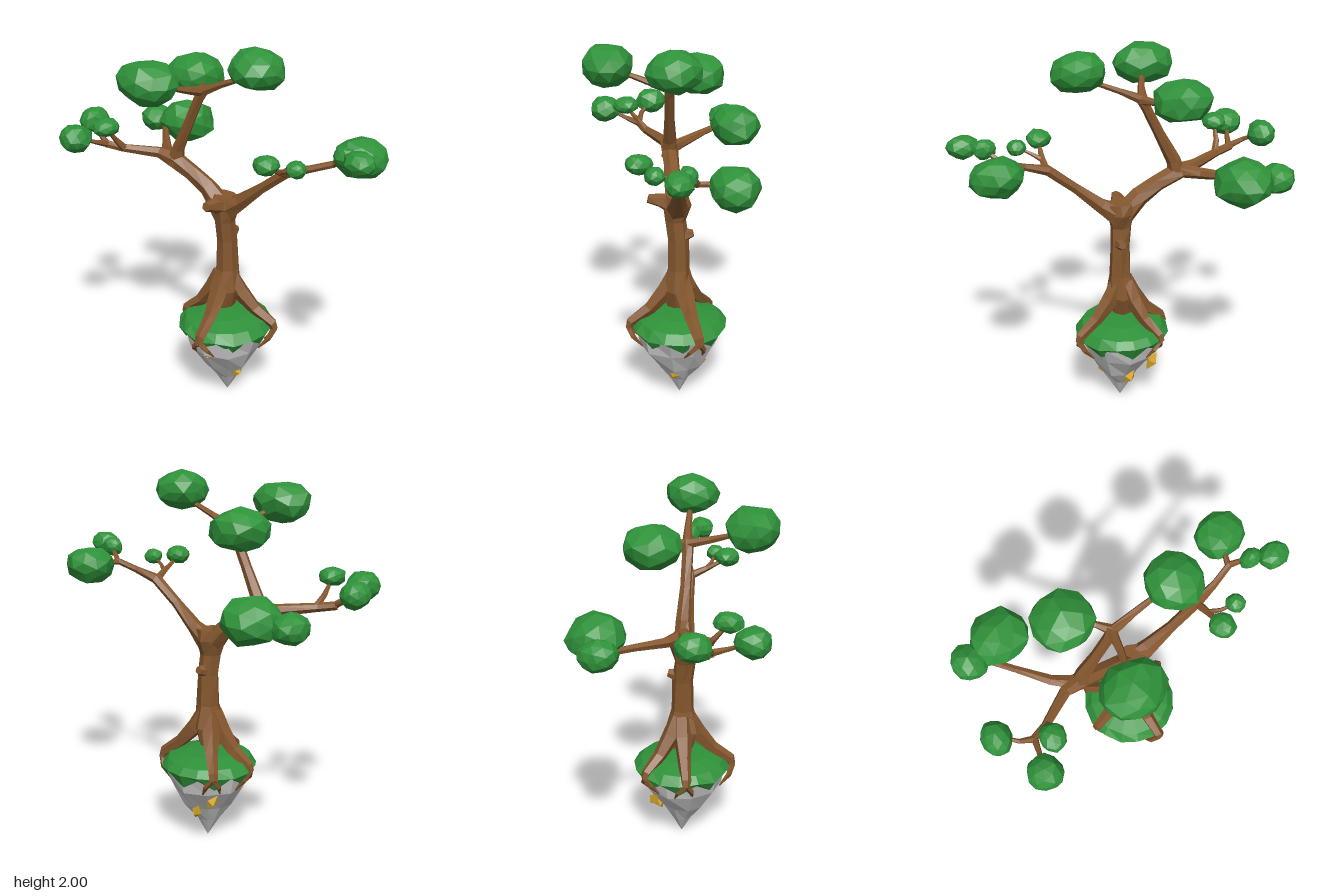
import * as THREE from 'three';

const material = (color) => new THREE.MeshStandardMaterial({ color, flatShading: true, roughness: 0.9 });
const bark = material(0x85572e);
const leaf = material(0x2f923a);
const stone = material(0xcccccc);
const gold = material(0xd9a92c);

// Repeatable jitter in -1..1 from a position
function noise(x, y, z, seed) {
  const s = Math.sin(Math.round(x * 100) * 12.99 + Math.round(y * 100) * 78.23 + Math.round(z * 100) * 37.72 + seed * 4.1) * 43758.55;
  return (s - Math.floor(s)) * 2 - 1;
}

function add(group, name, geometry, mat) {
  const mesh = new THREE.Mesh(geometry, mat);
  mesh.name = name;
  group.add(mesh);
  return mesh;
}

// Faceted tapering limb through points [x, y, z, radius]
function limbGeometry(points, sides = 6) {
  const rows = points.map(([x, y, z, r]) => ({ p: new THREE.Vector3(x, y, z), r }));
  const last = rows[rows.length - 1];
  rows.unshift({ p: rows[0].p, r: 0.001 });
  rows.push({ p: last.p, r: 0.001 });
  const verts = [], index = [];
  let n = new THREE.Vector3(0.31, 0.12, 0.94);
  rows.forEach(({ p, r }, i) => {
    const before = rows[Math.max(i - 2, 0)].p, after = rows[Math.min(i + 2, rows.length - 1)].p;
    const t = after.clone().sub(before).normalize();
    n = n.clone().addScaledVector(t, -n.dot(t)).normalize();
    const b = t.clone().cross(n);
    for (let j = 0; j < sides; j++) {
      const a = (j / sides) * Math.PI * 2;
      const k = r * (1 + 0.12 * noise(i, j, 1, sides));
      const v = p.clone().addScaledVector(n, Math.cos(a) * k).addScaledVector(b, Math.sin(a) * k);
      verts.push(v.x, v.y, v.z);
      if (i < rows.length - 1) {
        const j2 = (j + 1) % sides, c = i * sides, d = c + sides;
        index.push(c + j, c + j2, d + j2, c + j, d + j2, d + j);
      }
    }
  });
  const g = new THREE.BufferGeometry();
  g.setAttribute('position', new THREE.Float32BufferAttribute(verts, 3));
  g.setIndex(index);
  g.computeVertexNormals();
  return g;
}

// Lumpy faceted leaf ball
function leafGeometry(rx, ry, rz, seed) {
  const g = new THREE.IcosahedronGeometry(1, 1);
  g.rotateY(seed * 1.3);
  const pos = g.attributes.position;
  for (let i = 0; i < pos.count; i++) {
    const x = pos.getX(i), y = pos.getY(i), z = pos.getZ(i);
    const k = 1 + 0.08 * noise(x, y, z, seed);
    pos.setXYZ(i, x * k * rx, y * k * ry, z * k * rz);
  }
  g.computeVertexNormals();
  return g;
}

// Revolved profile with every vertex moved by a rule(vertex, segment, row)
function ruggedLathe(profile, segments, rule) {
  const g = new THREE.LatheGeometry(profile.map(([r, y]) => new THREE.Vector2(r, y)), segments);
  const pos = g.attributes.position, v = new THREE.Vector3();
  for (let i = 0; i < pos.count; i++) {
    v.fromBufferAttribute(pos, i);
    rule(v, Math.floor(i / profile.length) % segments, i % profile.length);
    pos.setXYZ(i, v.x, v.y, v.z);
  }
  g.computeVertexNormals();
  return g;
}

export function createModel() {
  const model = new THREE.Group();
  model.name = 'floatingTree';

  // Pointed rock
  add(model, 'rock', ruggedLathe([[0.001, 0.01], [0.062, 0.12], [0.125, 0.21], [0.2, 0.335], [0.24, 0.44], [0.001, 0.46]], 10,
    (v, s, row) => {
      const k = row > 0 && row < 4 ? 1 + 0.1 * noise(s, row, 0, 3) : 1;
      v.set(v.x * k + 0.01, v.y, v.z * k + 0.015);
    }), stone);

  // Grass cap with a zigzag skirt
  add(model, 'grass', ruggedLathe([[0.232, 0.41], [0.262, 0.445], [0.225, 0.49], [0.13, 0.515], [0.001, 0.52]], 16,
    (v, s, row) => {
      if (row === 0) {
        v.y += s % 2 ? 0.02 : -0.035;
        if (s % 2 === 0) v.multiply(new THREE.Vector3(0.97, 1, 0.97));
      }
      if (row === 1) v.y += 0.012 * noise(s, 1, 2, 5);
      v.x *= 0.98;
      v.z += 0.015;
    }), leaf).material.side = THREE.DoubleSide;

  // Gold crystals set in the rock
  const crystals = [[0.02, 0.33, 0.2, 1.1], [-0.13, 0.295, -0.13, 0.5], [0.1, 0.18, 0.05, 0.35], [-0.01, 0.2, -0.11, 0.4]];
  crystals.forEach(([x, y, z, tilt]) => {
    const c = add(model, 'crystal', new THREE.OctahedronGeometry(1, 0), gold);
    c.scale.set(0.03, 0.055, 0.03);
    c.position.set(x, y, z);
    c.rotation.set(0.35, Math.atan2(x, z), -tilt, 'YXZ');
  });

  // Trunk and knots
  const wood = new THREE.Group();
  wood.name = 'wood';
  model.add(wood);
  add(wood, 'trunk', limbGeometry([[0, 0.56, 0.02, 0.06], [0, 0.66, 0.02, 0.085], [0.005, 0.78, 0.02, 0.062],
    [0.005, 0.95, 0.02, 0.056], [0, 1.06, 0.03, 0.058], [0, 1.14, 0.03, 0.078], [0.01, 1.2, 0.025, 0.065]], 7), bark);
  add(wood, 'knot', limbGeometry([[0, 1.14, 0.03, 0.055], [-0.01, 1.17, 0.11, 0.04], [-0.01, 1.18, 0.175, 0.026]]), bark);
  add(wood, 'knot', limbGeometry([[0.01, 0.97, 0.01, 0.045], [0.015, 0.985, -0.06, 0.02]]), bark);

  // Roots over the rim, each ending in two tips on the rock
  for (const [x, z] of [[0.02, 0.295], [0.265, -0.07], [-0.25, 0.05], [-0.17, -0.175]]) {
    const at = (k, y, r, turn = 0) => {
      const c = Math.cos(turn), s = Math.sin(turn);
      return [k * (x * c + z * s), y, k * (z * c - x * s) + 0.015 * (1 - k), r];
    };
    add(wood, 'root', limbGeometry([at(0.1, 0.74, 0.045), at(0.3, 0.64, 0.046), at(0.58, 0.55, 0.036),
      at(0.95, 0.475, 0.027), at(1, 0.435, 0.022)], 5), bark);
    for (const turn of [-0.28, 0.22]) {
      add(wood, 'rootTip', limbGeometry([at(0.99, 0.45, 0.018), at(0.93, 0.4, 0.014, turn * 0.6),
        at(0.76, 0.34, 0.004, turn)], 4), bark);
    }
  }

  // Branches
  const branches = {
    rightBough: [[-0.02, 1.13, 0.025, 0.06], [-0.1, 1.22, 0.03, 0.05], [-0.2, 1.28, 0.035, 0.046], [-0.31, 1.335, 0.035, 0.047],
      [-0.4, 1.355, 0.05, 0.03], [-0.57, 1.375, 0.15, 0.022], [-0.66, 1.39, 0.18, 0.02]],
    rightTwigA: [[-0.65, 1.39, 0.18, 0.018], [-0.72, 1.43, 0.16, 0.012], [-0.78, 1.47, 0.11, 0.008]],
    rightTwigB: [[-0.65, 1.39, 0.18, 0.018], [-0.67, 1.42, 0.26, 0.012], [-0.7, 1.46, 0.34, 0.008]],
    rightTwigC: [[-0.56, 1.375, 0.15, 0.02], [-0.58, 1.43, 0.19, 0.015], [-0.585, 1.5, 0.25, 0.008]],
    backBranch: [[-0.32, 1.335, 0.035, 0.036], [-0.42, 1.34, -0.04, 0.028], [-0.54, 1.36, -0.18, 0.02], [-0.61, 1.37, -0.265, 0.017],
      [-0.69, 1.385, -0.31, 0.01]],
    backTwig: [[-0.58, 1.365, -0.22, 0.016], [-0.56, 1.38, -0.32, 0.01]],
    upperBranch: [[-0.31, 1.31, 0.035, 0.046], [-0.285, 1.4, 0.035, 0.036], [-0.21, 1.55, 0.045, 0.029], [-0.14, 1.69, 0.05, 0.026],
      [-0.11, 1.75, 0.045, 0.03]],
    upperTwigA: [[-0.12, 1.735, 0.045, 0.026], [0, 1.79, 0.045, 0.017], [0.17, 1.86, 0.05, 0.012]],
    upperTwigB: [[-0.12, 1.735, 0.045, 0.026], [-0.145, 1.765, 0.16, 0.018], [-0.19, 1.81, 0.3, 0.012]],
    upperTwigC: [[-0.11, 1.735, 0.045, 0.026], [-0.16, 1.74, -0.02, 0.017], [-0.24, 1.75, -0.08, 0.012]],
    leftBough: [[0.02, 1.13, 0.025, 0.06], [0.11, 1.19, 0.03, 0.042], [0.24, 1.3, 0.04, 0.029], [0.38, 1.41, 0.04, 0.028],
      [0.5, 1.45, 0.02, 0.018], [0.61, 1.49, -0.01, 0.017], [0.69, 1.55, 0.035, 0.011], [0.78, 1.56, 0.085, 0.008]],
    leftTwigA: [[0.6, 1.485, -0.005, 0.016], [0.62, 1.49, -0.06, 0.013], [0.65, 1.49, -0.13, 0.01]],
    leftTwigB: [[0.38, 1.405, 0.04, 0.022], [0.39, 1.445, 0.13, 0.016], [0.385, 1.5, 0.23, 0.008]],
    leftTwigC: [[0.39, 1.44, 0.12, 0.014], [0.44, 1.465, 0.155, 0.01], [0.5, 1.495, 0.175, 0.007]],
  };
  for (const [name, points] of Object.entries(branches)) add(wood, name, limbGeometry(points), bark);

  // Foliage: centre x, y, z and radii
  const clumps = [
    [-0.52, 1.4, -0.355, 0.155, 0.118, 0.145], [-0.71, 1.39, -0.32, 0.092, 0.075, 0.098],
    [-0.8, 1.475, 0.1, 0.074, 0.07, 0.09], [-0.7, 1.465, 0.365, 0.087, 0.072, 0.088],
    [-0.585, 1.515, 0.255, 0.066, 0.048, 0.074], [-0.28, 1.765, -0.11, 0.156, 0.104, 0.148],
    [-0.215, 1.838, 0.36, 0.158, 0.11, 0.135], [0.665, 1.485, -0.17, 0.136, 0.098, 0.117],
    [0.21, 1.9, 0.055, 0.145, 0.102, 0.135], [0.79, 1.56, 0.09, 0.08, 0.06, 0.067],
    [0.69, 1.555, 0.04, 0.06, 0.05, 0.046], [0.385, 1.513, 0.24, 0.065, 0.048, 0.068],
    [0.51, 1.498, 0.175, 0.049, 0.043, 0.05],
  ];
  clumps.forEach(([x, y, z, rx, ry, rz], i) => {
    add(model, 'foliage', leafGeometry(rx, ry, rz, i + 1), leaf).position.set(x, y, z);
  });
  return model;
}
